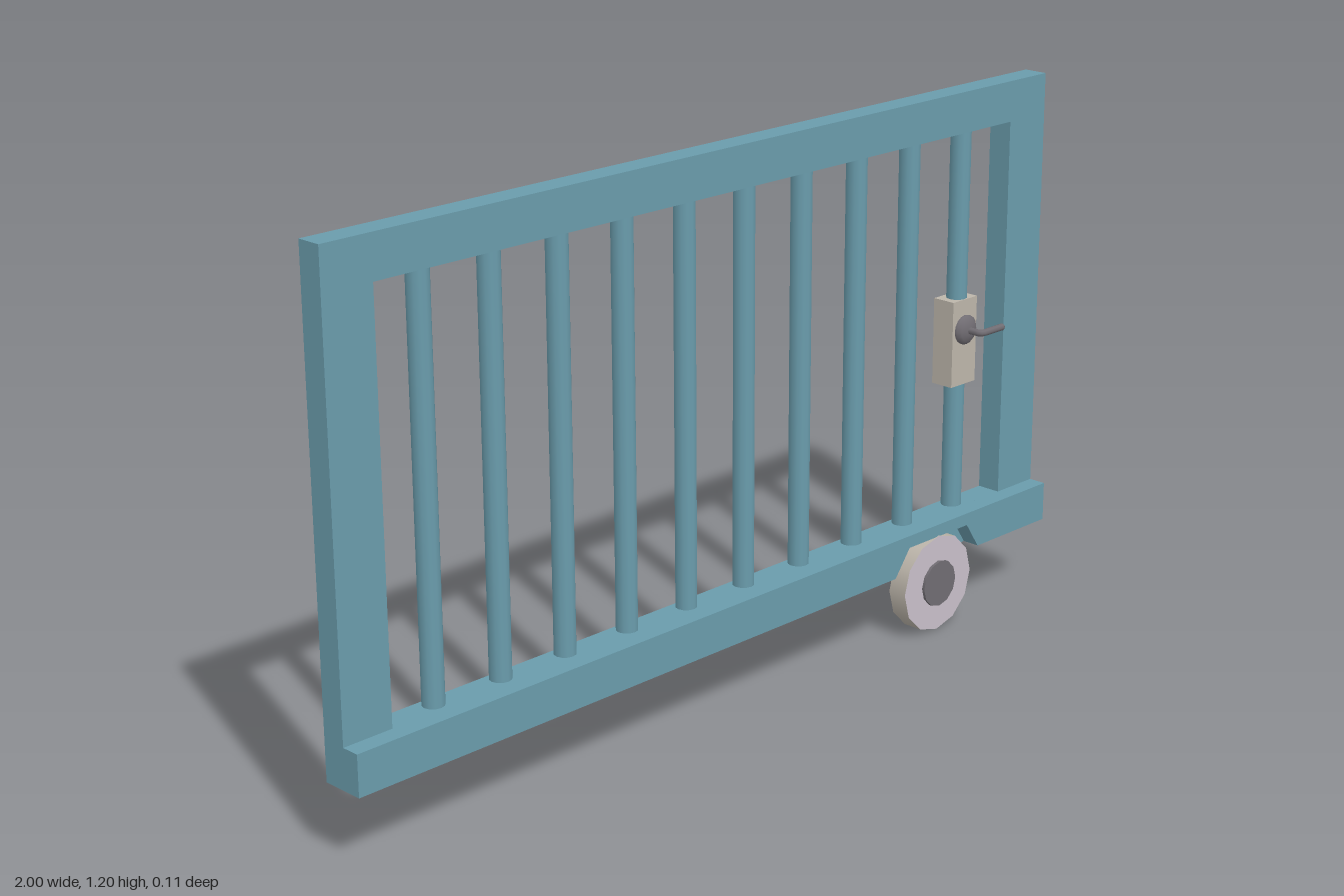
import * as THREE from 'three';

const mat = (name, color) => {
  const m = new THREE.MeshStandardMaterial({ color });
  m.name = name;
  return m;
};

export function createModel() {
  const teal = mat('teal paint', 0x6a9cac);
  const beige = mat('beige metal', 0xbdb6ab);
  const lilac = mat('lilac grey', 0xc9c0ca);
  const dark = mat('dark grey metal', 0x716d73);

  const gate = new THREE.Group();
  gate.name = 'slidingGate';
  const add = (name, geometry, material, x = 0, y = 0, z = 0, parent = gate) => {
    const mesh = new THREE.Mesh(geometry, material);
    mesh.name = name;
    mesh.position.set(x, y, z);
    parent.add(mesh);
    return mesh;
  };
  const polygon = (points) => new THREE.Shape(points.map(([x, y]) => new THREE.Vector2(x, y)));
  const extrude = (shape, depth) => new THREE.ExtrudeGeometry(shape, { depth, bevelEnabled: false });

  // Rectangular frame with one large opening
  const outline = polygon([[-1, 0.16], [1, 0.16], [1, 1.195], [-1, 1.195]]);
  outline.holes.push(polygon([[-0.885, 0.248], [-0.885, 1.105], [0.882, 1.105], [0.882, 0.248]]));
  add('frame', extrude(outline, 0.055), teal, 0, 0, -0.052);

  // Thicker front rail along the bottom, notched around the wheel
  const rail = polygon([
    [-1, 0.16], [0.485, 0.16], [0.53, 0.22], [0.725, 0.22],
    [0.765, 0.16], [1, 0.16], [1, 0.248], [-1, 0.248],
  ]);
  add('bottomRail', extrude(rail, 0.04), teal, 0, 0, 0.003);

  // Round upright bars
  const barGeometry = new THREE.CylinderGeometry(0.023, 0.023, 0.87, 12, 1, true);
  for (let i = 0; i < 10; i++) {
    add(`bar${i + 1}`, barGeometry, teal, -0.763 + i * 0.168, 0.677, -0.025);
  }

  // Wheel with a hub showing on both sides
  const wheel = new THREE.Group();
  wheel.name = 'wheel';
  wheel.position.set(0.626, 0.111, 0.0225);
  gate.add(wheel);
  const disc = (radius, depth, sides) =>
    new THREE.CylinderGeometry(radius, radius, depth, sides).rotateX(Math.PI / 2);
  add('tyre', disc(0.111, 0.045, 12), [beige, lilac, lilac], 0, 0, 0, wheel);
  add('hub', disc(0.053, 0.058, 12), dark, 0, 0, 0, wheel);

  // Lock box on the last bar
  add('lockBox', new THREE.BoxGeometry(0.08, 0.195, 0.055), beige, 0.749, 0.633, -0.0275);

  // Handle: domed rose, neck and bent lever
  const handle = new THREE.Group();
  handle.name = 'handle';
  handle.position.set(0.749, 0.662, 0);
  gate.add(handle);
  const rose = [[0.033, -0.002], [0.033, 0.006], [0.025, 0.013], [0.012, 0.017], [0, 0.018]];
  add('rose', new THREE.LatheGeometry(rose.map(([r, y]) => new THREE.Vector2(r, y)), 16)
    .rotateX(Math.PI / 2), dark, 0, 0, 0, handle);
  const path = new THREE.CurvePath();
  const v = (x, z) => new THREE.Vector3(x, 0, z);
  path.add(new THREE.LineCurve3(v(0, 0.01), v(0, 0.035)));
  path.add(new THREE.QuadraticBezierCurve3(v(0, 0.035), v(0, 0.047), v(0.012, 0.047)));
  path.add(new THREE.LineCurve3(v(0.012, 0.047), v(0.07, 0.047)));
  add('lever', new THREE.TubeGeometry(path, 20, 0.008, 8), dark, 0, 0, 0, handle);
  add('leverTip', new THREE.SphereGeometry(0.008, 8, 6), dark, 0.07, 0, 0.047, handle);

  return gate;
}
